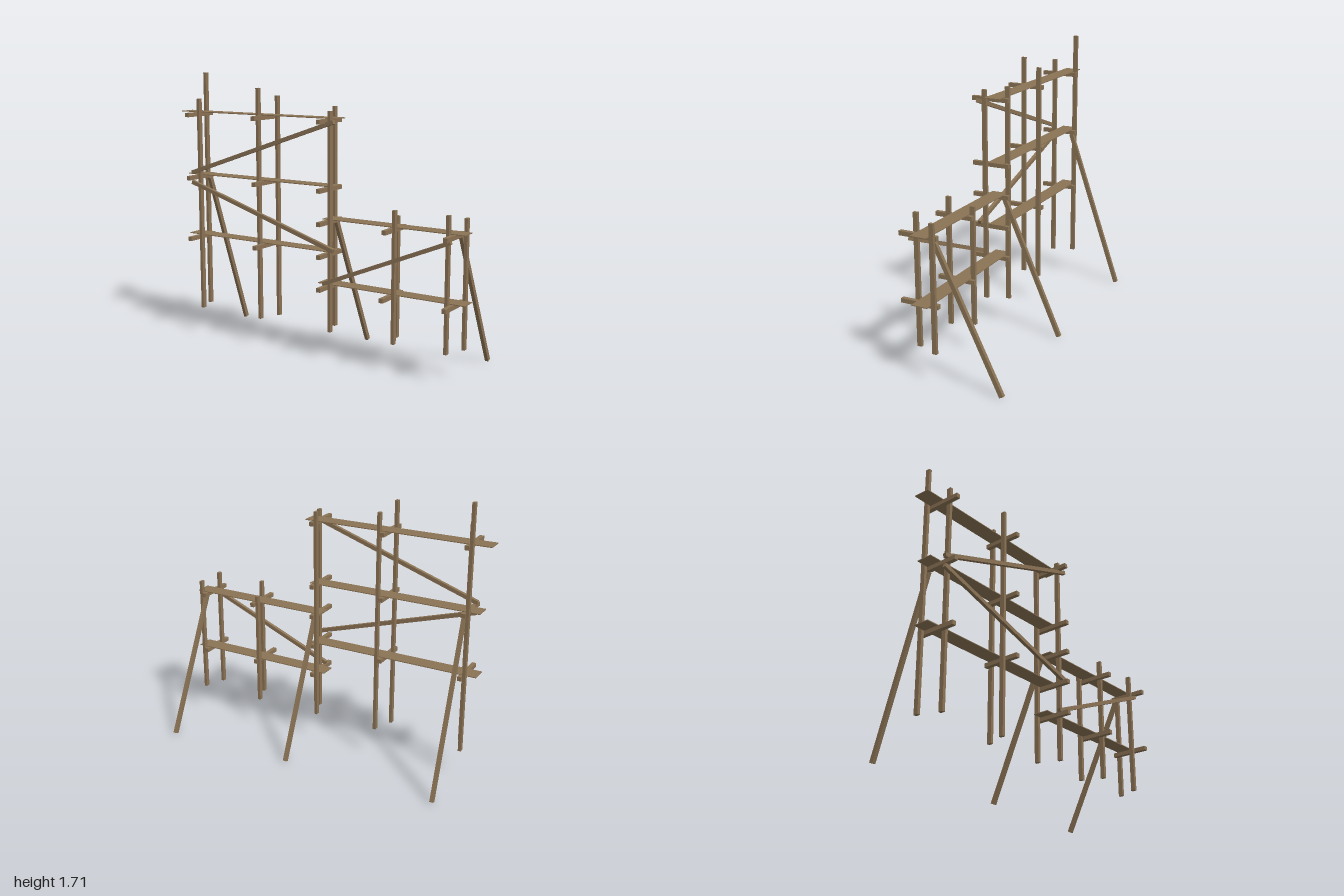
import * as THREE from 'three';

export function createModel() {
  const model = new THREE.Group();
  model.name = 'scaffolding';

  // Local frame: x runs along the planks, z across them; then turned on the ground
  const frame = new THREE.Group();
  frame.name = 'scaffoldFrame';
  frame.rotation.y = THREE.MathUtils.degToRad(-25.4);
  model.add(frame);

  const wood = new THREE.MeshStandardMaterial({ color: 0x8b7355 });
  wood.name = 'weathered wood';

  function box(name, w, h, d, x, y, z) {
    const mesh = new THREE.Mesh(new THREE.BoxGeometry(w, h, d), wood);
    mesh.name = name;
    mesh.position.set(x, y, z);
    frame.add(mesh);
    return mesh;
  }

  // Straight timber between two points
  const up = new THREE.Vector3(0, 1, 0);
  function beam(name, from, to, w, d) {
    const a = new THREE.Vector3(...from);
    const b = new THREE.Vector3(...to);
    const dir = b.clone().sub(a);
    const mid = a.clone().add(b).multiplyScalar(0.5);
    const mesh = box(name, w, dir.length(), d, mid.x, mid.y, mid.z);
    mesh.quaternion.setFromUnitVectors(up, dir.normalize());
  }

  const FRONT = 0.182, BACK = 0.053, POST_BASE = 0.185;

  // Pairs of posts, staggered to either side of the cross bars
  const bays = [
    { x: -0.89, side: 1, front: 1.55, back: 1.71 },
    { x: -0.37, side: -1, front: 1.63, back: 1.58 },
    { x: 0.1025, side: 1, front: 1.51, back: 1.53 },
    { x: 0.5375, side: 1, front: 0.97, back: 0.915 },
    { x: 0.9245, side: -1, front: 0.975, back: 0.945 },
  ];
  for (const { x, side, front, back } of bays) {
    for (const [name, top, z, s] of [['frontPost', front, FRONT, side], ['backPost', back, BACK, -side]]) {
      const h = top - POST_BASE;
      box(name, 0.019, h, 0.028, x + s * 0.025, POST_BASE + h / 2, z);
    }
  }

  // Floors: cross bars at each bay with a plank on top
  const floors = [
    { y: 1.451, bars: [-0.89, -0.37, 0.1025], from: -1.025, to: 0.161 },
    { y: 1.05, bars: [-0.89, -0.37, 0.1025], from: -0.98, to: 0.13 },
    { y: 0.656, bars: [-0.89, -0.37, 0.1025], from: -0.98, to: 0.12 },
    { y: 0.853, bars: [0.1025, 0.545, 0.9245], from: 0.065, to: 0.99 },
    { y: 0.458, bars: [0.1025, 0.53, 0.9245], from: 0.03, to: 0.998 },
  ];
  for (const { y, bars, from, to } of floors) {
    for (const x of bars) box('crossBar', 0.026, 0.026, 0.24, x, y, 0.154);
    box('plank', to - from, 0.005, 0.1, (from + to) / 2, y + 0.0145, 0.117);
  }

  // Diagonal braces along the front
  const braceZ = 0.206;
  for (const [x1, y1, x2, y2] of [
    [-0.912, 1.08, 0.168, 1.45],
    [-0.912, 1.018, 0.165, 0.69],
    [0.093, 0.482, 0.928, 0.83],
  ]) beam('diagonalBrace', [x1, y1, braceZ], [x2, y2, braceZ], 0.024, 0.022);

  // Raking props that lean against the back
  for (const [x, top, topZ, footZ] of [
    [-0.889, 1.035, 0.062, -0.294],
    [0.098, 0.845, 0.066, -0.307],
    [0.922, 0.86, 0.072, -0.348],
  ]) beam('rakingProp', [x, top, topZ], [x, 0.006, footZ], 0.022, 0.027);

  return model;
}
